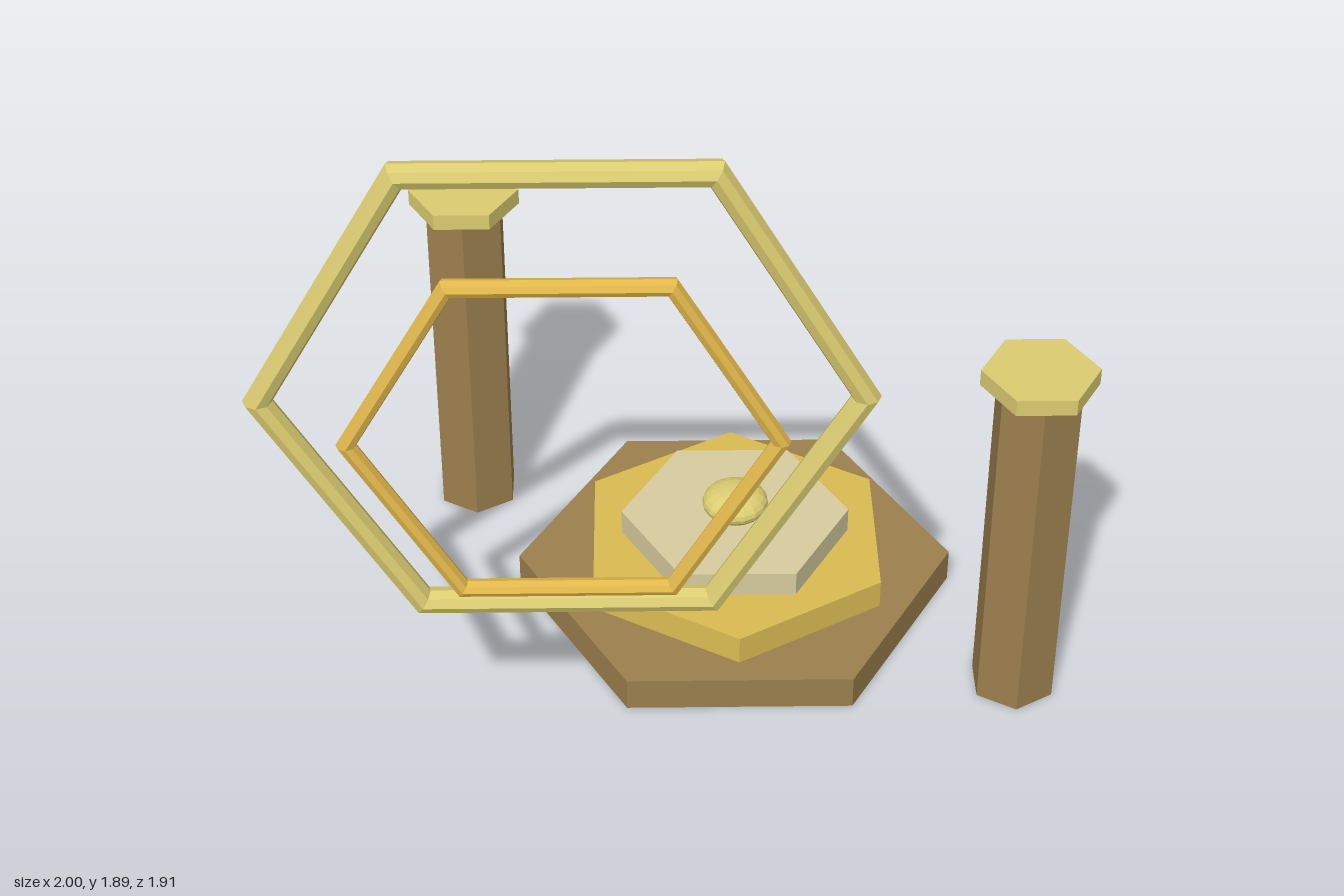
import * as THREE from 'three';

const BROWN = 0x9c7f4d, GOLD = 0xdbbc52, CREAM = 0xd8cd9e, PALE_GOLD = 0xdccd72, AMBER = 0xe3b94c;
const ALTAR_Z = -0.34;

function addMesh(parent, name, geometry, color) {
  const material = new THREE.MeshStandardMaterial({ color, flatShading: true });
  const mesh = new THREE.Mesh(geometry, material);
  mesh.name = name;
  parent.add(mesh);
  return mesh;
}

// Upright hexagonal prism; turned = corners along x instead of z
function addHexPrism(parent, name, radius, y0, y1, turned, color) {
  const geometry = new THREE.CylinderGeometry(radius, radius, y1 - y0, 6);
  if (turned) geometry.rotateY(Math.PI / 6);
  geometry.translate(0, (y0 + y1) / 2, 0);
  return addMesh(parent, name, geometry, color);
}

export function createModel() {
  const model = new THREE.Group();
  model.name = 'hexagonalShrine';

  // Stepped platform with alternating hexagons
  const platform = new THREE.Group();
  platform.name = 'platform';
  platform.position.z = ALTAR_Z;
  addHexPrism(platform, 'lowerStep', 0.613, 0, 0.097, false, BROWN);
  addHexPrism(platform, 'middleStep', 0.46, 0.097, 0.182, true, GOLD);
  addHexPrism(platform, 'upperStep', 0.32, 0.182, 0.256, false, CREAM);

  // Flattened orb resting in the top step
  const orb = addMesh(platform, 'orb', new THREE.SphereGeometry(0.093, 16, 12), PALE_GOLD);
  orb.scale.y = 0.51;
  orb.position.y = 0.29;
  model.add(platform);

  // Pair of capped pillars
  for (const [side, name] of [[1, 'leftPillar'], [-1, 'rightPillar']]) {
    const pillar = new THREE.Group();
    pillar.name = name;
    pillar.position.set(side * 0.867, 0, ALTAR_Z);
    addHexPrism(pillar, 'shaft', 0.118, 0, 1.011, true, BROWN);
    addHexPrism(pillar, 'cap', 0.153, 1.011, 1.057, false, PALE_GOLD);
    model.add(pillar);
  }

  // Two floating hexagonal rings, turned about the vertical
  const rings = new THREE.Group();
  rings.name = 'floatingRings';
  rings.position.z = 0.555;
  rings.rotation.y = Math.PI / 6;
  addMesh(rings, 'outerRing', new THREE.TorusGeometry(0.726, 0.036, 8, 6), PALE_GOLD).position.y = 1.233;
  addMesh(rings, 'innerRing', new THREE.TorusGeometry(0.525, 0.025, 8, 6), AMBER).position.y = 1.098;
  model.add(rings);

  return model;
}
